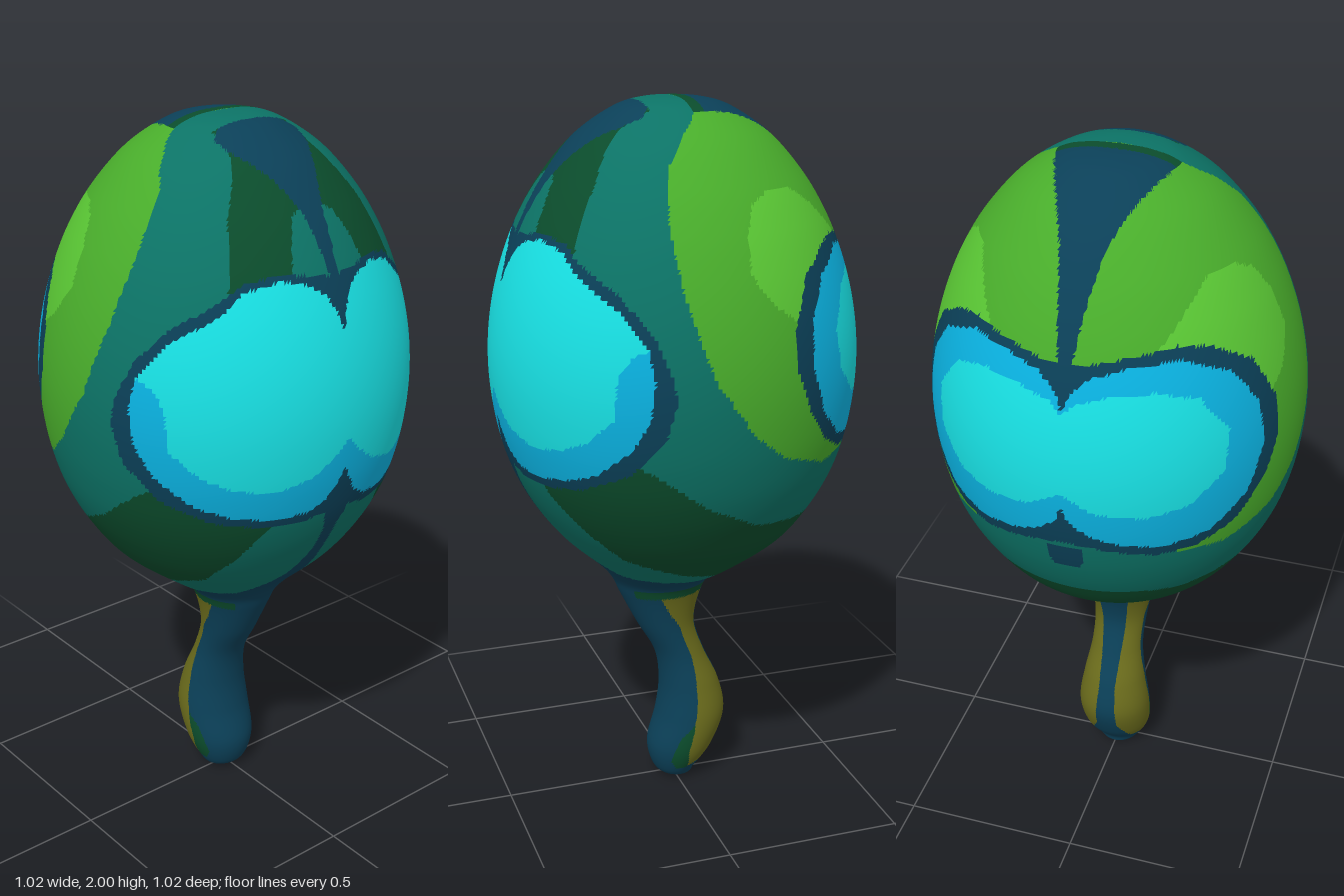
import * as THREE from 'three';

const COLORS = {
  navy: 0x0b4058, teal: 0x0c7366, darkGreen: 0x0b4c2c, green: 0x49ad2b,
  lightGreen: 0x5ac834, blue: 0x0ab3e2, cyan: 0x18e2e5, olive: 0x6b6c1c,
};

// Cross-sections from bottom to top: y, centre x, half width in x, half width in z
const SECTIONS = [
  [0, -0.012, 0.001, 0.001], [0.002, -0.012, 0.042, 0.045], [0.03, -0.004, 0.064, 0.074], [0.1, -0.023, 0.097, 0.101],
  [0.2, -0.054, 0.102, 0.107], [0.3, -0.05, 0.087, 0.093], [0.4, -0.02, 0.072, 0.077],
  [0.5, 0.022, 0.085, 0.08], [0.6, 0.036, 0.121, 0.1], [0.65, 0.03, 0.15, 0.128],
  [0.7, 0.01, 0.21, 0.2], [0.8, 0, 0.326, 0.325], [0.9, 0, 0.402, 0.402], [1, 0, 0.454, 0.454],
  [1.1, 0, 0.485, 0.485], [1.2, 0, 0.502, 0.502], [1.3, 0, 0.508, 0.508], [1.4, 0, 0.502, 0.502],
  [1.5, 0, 0.484, 0.484], [1.6, 0, 0.454, 0.454], [1.7, 0, 0.411, 0.411], [1.8, 0, 0.35, 0.35],
  [1.9, 0, 0.262, 0.262], [1.97, 0, 0.16, 0.16], [1.994, 0, 0.085, 0.085], [2, 0, 0.001, 0.001],
];
const NECK = 9; // section where the handle meets the head

// Painted outlines as [degrees round from the +x side, height]; the same on front and back
const rightTop = [[0, 1.52], [1.5, 1.57], [5, 1.62], [11, 1.65], [20, 1.665], [33, 1.645], [39, 1.6], [56, 1.52], [65, 1.43]];
const rightRim = [[-1, 1.66], [6, 1.665], [20, 1.68], [33, 1.665], [39, 1.63], [55, 1.56], [66, 1.47], [72, 1.36],
  [73, 1.3], [70, 1.2], [59, 1.1], [42, 1.04], [25, 1.02], [12, 1.025], [-1, 1.05]];
const rightBlue = [...rightTop, [67, 1.35], [65.5, 1.25], [60, 1.17], [48, 1.09], [37, 1.06], [25, 1.045], [12, 1.05],
  [6, 1.08], [2, 1.13], [0, 1.17]];
const rightCyan = [...rightTop, [60, 1.41], [56, 1.36], [55, 1.25], [46, 1.18], [36, 1.145], [24, 1.13], [12, 1.16],
  [4, 1.21], [0, 1.25]];
const flip = (pts) => pts.map(([a, y]) => [180 - a, y]);
const leftRim = flip([[-1, 1.62], [8, 1.625], [21, 1.645], [36, 1.66], [47, 1.645], [62, 1.58], [70, 1.45], [69.5, 1.35],
  [64, 1.24], [54, 1.14], [41, 1.09], [28, 1.08], [17, 1.095], [8, 1.11], [-1, 1.12]]);
const leftBlue = flip([[0, 1.5], [2, 1.55], [8, 1.595], [20, 1.62], [36, 1.63], [53, 1.575], [62, 1.47], [63, 1.35],
  [57, 1.22], [45, 1.135], [30, 1.11], [17, 1.125], [8, 1.15], [2, 1.19], [0, 1.24]]);
const leftCyan = flip([[0, 1.5], [4, 1.53], [15, 1.555], [28, 1.56], [41, 1.53], [50, 1.43], [48, 1.32], [37, 1.24],
  [24, 1.215], [10, 1.23], [0, 1.28]]);
const greenField = [[95, 2.01], [91, 1.97], [78, 1.92], [69.5, 1.85], [70.5, 1.72], [75.6, 1.55], [84, 1.35], [96, 1.2],
  [108, 1.12], [128, 1.07], [145, 1.08], [165, 1.15], [181, 1.5], [181, 2.01]];
const lightPatch = [[158, 1.6], [150, 1.66], [138, 1.74], [128, 1.785], [113, 1.79], [103, 1.76], [98, 1.69], [97, 1.6],
  [104, 1.52], [113, 1.47], [150, 1.4]];
const lowerBand = [[60, 1.13], [67, 1.1], [83, 1], [104, 0.92], [138, 0.89], [160, 0.9], [181, 0.9], [181, 0.68],
  [150, 0.68], [115, 0.69], [80, 0.73], [48, 0.8], [35, 0.9], [24, 1.02], [24, 1.06]];
const oliveStripe = [[76, 0.605], [88, 0.55], [105, 0.5], [102, 0.4], [87, 0.3], [81, 0.2], [88, 0.1], [100, 0.05],
  [140, 0.06], [163, 0.15], [165, 0.3], [155, 0.45], [152, 0.605]];
const handleSpot = [[60, 0.07], [66, 0.15], [81, 0.19], [90, 0.1], [100, 0.045], [75, 0.04]];

function inside(pts, a, y) {
  let hit = false;
  for (let i = 0, j = pts.length - 1; i < pts.length; j = i++) {
    const [ai, yi] = pts[i], [aj, yj] = pts[j];
    if ((yi > y) !== (yj > y) && a < ((aj - ai) * (y - yi)) / (yj - yi) + ai) hit = !hit;
  }
  return hit;
}

// Straight-line lookup in a table of [input, output]
function lookup(table, v) {
  if (v <= table[0][0]) return table[0][1];
  for (let i = 1; i < table.length; i++) {
    const [v0, w0] = table[i - 1], [v1, w1] = table[i];
    if (v <= v1) return w0 + ((w1 - w0) * (v - v0)) / (v1 - v0);
  }
  return table[table.length - 1][1];
}
const crownLeft = [[-0.48, 0.004], [-0.45, 0.018], [-0.3, 0.058], [-0.15, 0.12], [-0.05, 0.155], [0, 0.162]];
const crownRight = [[0.1, 0.1], [0.125, 0.135], [0.18, 0.125], [0.25, 0.087], [0.3, 0.057], [0.35, 0.032], [0.45, 0.008]];
const lowerSeam = [[0.66, 0.16], [0.7, 0.1], [0.75, 0.055], [0.8, 0.035], [0.9, 0.02], [0.98, 0.022], [1.05, 0.045]];
const shoulder = [[1.65, 0.265], [1.8, 0.215], [1.93, 0.13], [1.97, 0.12]];
const shoulderWedge = [[1.66, 0.12], [1.74, 0.095], [1.8, 0.065], [1.83, 0]];

function headColor(a, y, x, z) {
  if (inside(rightCyan, a, y) || inside(leftCyan, a, y)) return 'cyan';
  if (inside(rightBlue, a, y) || inside(leftBlue, a, y)) return 'blue';
  if (inside(rightRim, a, y) || inside(leftRim, a, y)) return 'navy';
  if (y > 1.6) {
    if (x < -0.003 && z < lookup(crownLeft, x)) return x > -0.035 ? 'darkGreen' : 'navy';
    if (x > 0.1 && z < lookup(crownRight, x)) return 'navy';
    if (x > 0.1 && z < lookup(shoulderWedge, y)) return 'teal';
    if (x > 0.1 && z < lookup(shoulder, y)) return 'darkGreen';
  }
  if (y < 1.1 && (x > 0 || y > 1.02) && z < lookup(lowerSeam, y)) return 'navy';
  if (y < 0.68 + 0.02 * Math.cos((a * Math.PI) / 180)) return 'navy';
  if (inside(lightPatch, a, y)) return 'lightGreen';
  if (inside(greenField, a, y)) return 'green';
  return inside(lowerBand, a, y) ? 'darkGreen' : 'teal';
}

function handleColor(a, y) {
  if (inside(oliveStripe, a, y)) return 'olive';
  if (inside(handleSpot, a, y)) return 'darkGreen';
  return y > 0.605 && y < 0.63 && a > 40 && a < 150 ? 'darkGreen' : 'navy';
}

export function createModel() {
  const model = new THREE.Group();
  const materials = {};
  for (const [name, color] of Object.entries(COLORS)) {
    materials[name] = new THREE.MeshStandardMaterial({ color });
    materials[name].name = name;
  }

  // Smooth loft through the cross-sections
  const spline = (pick) => new THREE.CatmullRomCurve3(SECTIONS.map(pick), false, 'catmullrom', 0.5);
  const widthCurve = spline(([y, cx, rx]) => new THREE.Vector3(cx, y, rx));
  const depthCurve = spline(([y, , , rz]) => new THREE.Vector3(rz, y, 0));
  const perSection = 9, around = 320;
  const rows = (SECTIONS.length - 1) * perSection;
  const positions = [], all = [];
  const parts = { head: {}, handle: {} };
  for (let i = 0; i <= rows; i++) {
    const w = widthCurve.getPoint(i / rows), d = depthCurve.getPoint(i / rows);
    for (let j = 0; j < around; j++) {
      const t = (j / around) * Math.PI * 2;
      positions.push(w.x + w.z * Math.cos(t), Math.max(w.y, 0), d.x * Math.sin(t));
    }
  }

  // Sort each small face into its part and colour
  function addFace(i, corners) {
    let x = 0, y = 0, z = 0, turn = 0;
    const ids = corners.map(([r, j]) => {
      const id = r * around + (j % around);
      x += positions[id * 3] / 3;
      y += positions[id * 3 + 1] / 3;
      z += positions[id * 3 + 2] / 3;
      turn += ((j / around) * 360) / 3;
      return id;
    });
    const a = turn > 180 ? 360 - turn : turn;
    const isHead = i >= NECK * perSection;
    const color = isHead ? headColor(a, y, x, Math.abs(z)) : handleColor(a, y);
    const part = isHead ? parts.head : parts.handle;
    (part[color] ??= []).push(...ids);
    all.push(...ids);
  }
  for (let i = 0; i < rows; i++) {
    for (let j = 0; j < around; j++) {
      addFace(i, [[i, j], [i + 1, j], [i, j + 1]]);
      addFace(i, [[i + 1, j], [i + 1, j + 1], [i, j + 1]]);
    }
  }

  const surface = new THREE.BufferGeometry();
  surface.setAttribute('position', new THREE.Float32BufferAttribute(positions, 3));
  surface.setIndex(all);
  surface.computeVertexNormals();

  // One mesh per part, with a group of faces for each colour
  for (const [name, faces] of Object.entries(parts)) {
    const geometry = new THREE.BufferGeometry();
    geometry.setAttribute('position', surface.getAttribute('position'));
    geometry.setAttribute('normal', surface.getAttribute('normal'));
    const index = [], used = [];
    for (const [color, ids] of Object.entries(faces)) {
      geometry.addGroup(index.length, ids.length, used.length);
      for (const id of ids) index.push(id);
      used.push(materials[color]);
    }
    geometry.setIndex(index);
    const mesh = new THREE.Mesh(geometry, used);
    mesh.name = name;
    model.add(mesh);
  }
  return model;
}
